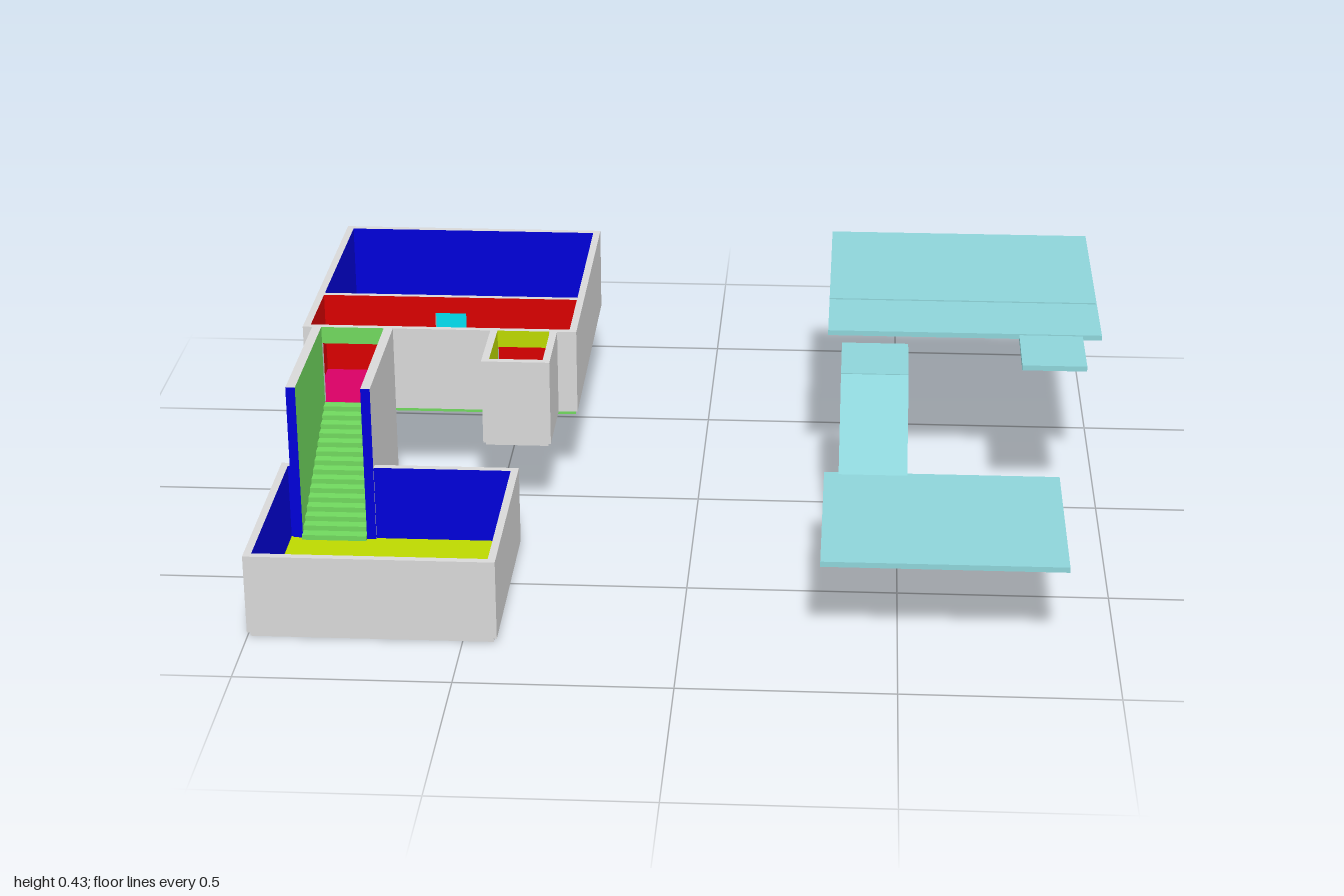
import * as THREE from 'three';

export function createModel() {
  const model = new THREE.Group();
  model.name = 'splitLevelHouse';

  const colours = {
    concrete: 0xd8d8d8, blue: 0x0000d8, red: 0xd80000, green: 0x70d85e, olive: 0xbcd800,
    cyan: 0x00c8d8, magenta: 0xd80064, roofTeal: 0x8ed4d9, purple: 0x7860d8, sand: 0xd8b87a,
  };
  const mats = {};
  for (const [name, color] of Object.entries(colours)) {
    mats[name] = new THREE.MeshStandardMaterial({ color });
    mats[name].name = name;
  }

  const group = (name) => {
    const g = new THREE.Group();
    g.name = name;
    model.add(g);
    return g;
  };

  // Box given by its limits; faces maps a side (px nx py ny pz nz) to a colour
  const sides = ['px', 'nx', 'py', 'ny', 'pz', 'nz'];
  const block = (parent, name, [x0, x1], [y0, y1], [z0, z1], base, faces = {}) => {
    const geo = new THREE.BoxGeometry(x1 - x0, y1 - y0, z1 - z0);
    const mesh = new THREE.Mesh(geo, sides.map((s) => mats[faces[s] || base]));
    mesh.position.set((x0 + x1) / 2, (y0 + y1) / 2, (z0 + z1) / 2);
    mesh.name = name;
    parent.add(mesh);
    return mesh;
  };

  const T = 0.018; // wall thickness
  const L = -0.982, R = -0.328; // inner limits of the upper floor
  const sideWalls = (g, [x0, x1], y, z, paint) => {
    block(g, 'rightWall', [x0 - T, x0], y, z, 'concrete', { px: paint });
    block(g, 'leftWall', [x1, x1 + T], y, z, 'concrete', { nx: paint });
  };

  // Lower room
  const low = group('lowerRoom');
  const lowY = [0.012, 0.207];
  block(low, 'floor', [-0.993, -0.428], [0, 0.018], [0.295, 0.8], 'concrete', { py: 'olive' });
  sideWalls(low, [L, -0.438], lowY, [0.306, 0.789], 'blue');
  block(low, 'frontWall', [-1, -0.42], lowY, [0.789, 0.807], 'concrete', { nz: 'blue' });
  for (const x of [[-1, -0.976], [-0.772, -0.42]]) {
    block(low, 'backWall', x, lowY, [0.288, 0.306], 'concrete', { pz: 'blue' });
  }

  // Upper rooms
  const up = group('upperRooms');
  const upY = [0.2, 0.417], lintelY = [0.373, 0.417], slabY = [0.191, 0.21];
  block(up, 'largeRoomFloor', [-0.995, -0.315], slabY, [-0.802, -0.303], 'concrete', { py: 'cyan' });
  block(up, 'hallFloor', [-0.995, -0.315], slabY, [-0.303, -0.082], 'concrete', { py: 'magenta', pz: 'green' });
  block(up, 'backWall', [-1, -0.31], upY, [-0.81, -0.792], 'concrete', { pz: 'blue' });
  sideWalls(up, [L, R], upY, [-0.792, -0.305], 'blue');
  sideWalls(up, [L, R], upY, [-0.305, -0.093], 'red');

  // Wall between large room and hall, with a doorway
  const both = { pz: 'red', nz: 'blue' }, midZ = [-0.312, -0.297];
  block(up, 'dividerRight', [L, -0.695], upY, midZ, 'concrete', both);
  block(up, 'dividerLeft', [-0.615, R], upY, midZ, 'concrete', both);
  block(up, 'dividerLintel', [-0.695, -0.615], lintelY, midZ, 'concrete', both);

  // Hall front wall, open to the stairs and the closet
  const hallZ = [-0.093, -0.077];
  for (const x of [[-1, -0.953], [-0.795, -0.508], [-0.378, -0.31]]) {
    block(up, 'hallFrontWall', x, upY, hallZ, 'concrete', { nz: 'red' });
  }
  block(up, 'stairLintel', [-0.953, -0.795], lintelY, hallZ, 'concrete', { pz: 'green', nz: 'red' });
  block(up, 'closetLintel', [-0.508, -0.378], lintelY, hallZ, 'concrete', { pz: 'olive', nz: 'red' });

  // Closet
  const closet = group('closet');
  block(closet, 'floor', [-0.52, -0.365], slabY, [-0.081, 0.118], 'concrete', { py: 'green' });
  sideWalls(closet, [-0.508, -0.376], upY, [-0.077, 0.107], 'olive');
  block(closet, 'frontWall', [-0.526, -0.358], upY, [0.107, 0.125], 'concrete', { nz: 'olive' });

  // Stairwell walls
  const stairs = group('stairwell');
  const wellY = [0.018, 0.417], wellZ = [-0.077, 0.312];
  block(stairs, 'rightWall', [-0.976, -0.953], wellY, wellZ, 'concrete', { px: 'green', pz: 'blue' });
  block(stairs, 'leftWall', [-0.795, -0.772], wellY, wellZ, 'concrete', { nx: 'green', pz: 'blue' });

  // Steps
  const steps = 15, going = 0.405 / steps, rise = 0.192 / steps;
  for (let i = 0; i < steps; i++) {
    const top = 0.018 + (i + 1) * rise, front = 0.325 - i * going;
    block(stairs, 'step', [-0.953, -0.795], [top - rise * 1.3, top], [front - going, front], 'green', { ny: 'concrete' });
  }

  // Lifted-off roofs, set beside the rooms, with painted ceilings
  const roofs = group('roofs');
  const roof = (name, x, y, z, ceiling) =>
    block(roofs, name, x, [y, y + 0.013], z, 'roofTeal', { ny: ceiling });
  roof('lowerRoomRoof', [0.32, 0.885], 0.208, [0.3, 0.79], 'green');
  roof('largeRoomRoof', [0.32, 1], 0.418, [-0.802, -0.31], 'roofTeal');
  roof('hallRoof', [0.32, 1], 0.418, [-0.302, -0.09], 'purple');
  roof('closetRoof', [0.795, 0.952], 0.418, [-0.083, 0.112], 'concrete');
  roof('landingRoof', [0.355, 0.52], 0.387, [-0.087, 0.11], 'sand');

  // Sloping roof over the stairs
  const run = 0.2, drop = 0.178, length = Math.hypot(run, drop);
  const slope = block(roofs, 'stairRoof', [0.355, 0.52], [0, 0.013], [0, length], 'roofTeal', { ny: 'sand' });
  slope.position.set(0.4375, 0.394 - drop / 2, 0.108 + run / 2);
  slope.rotation.x = Math.atan2(drop, run);

  return model;
}
